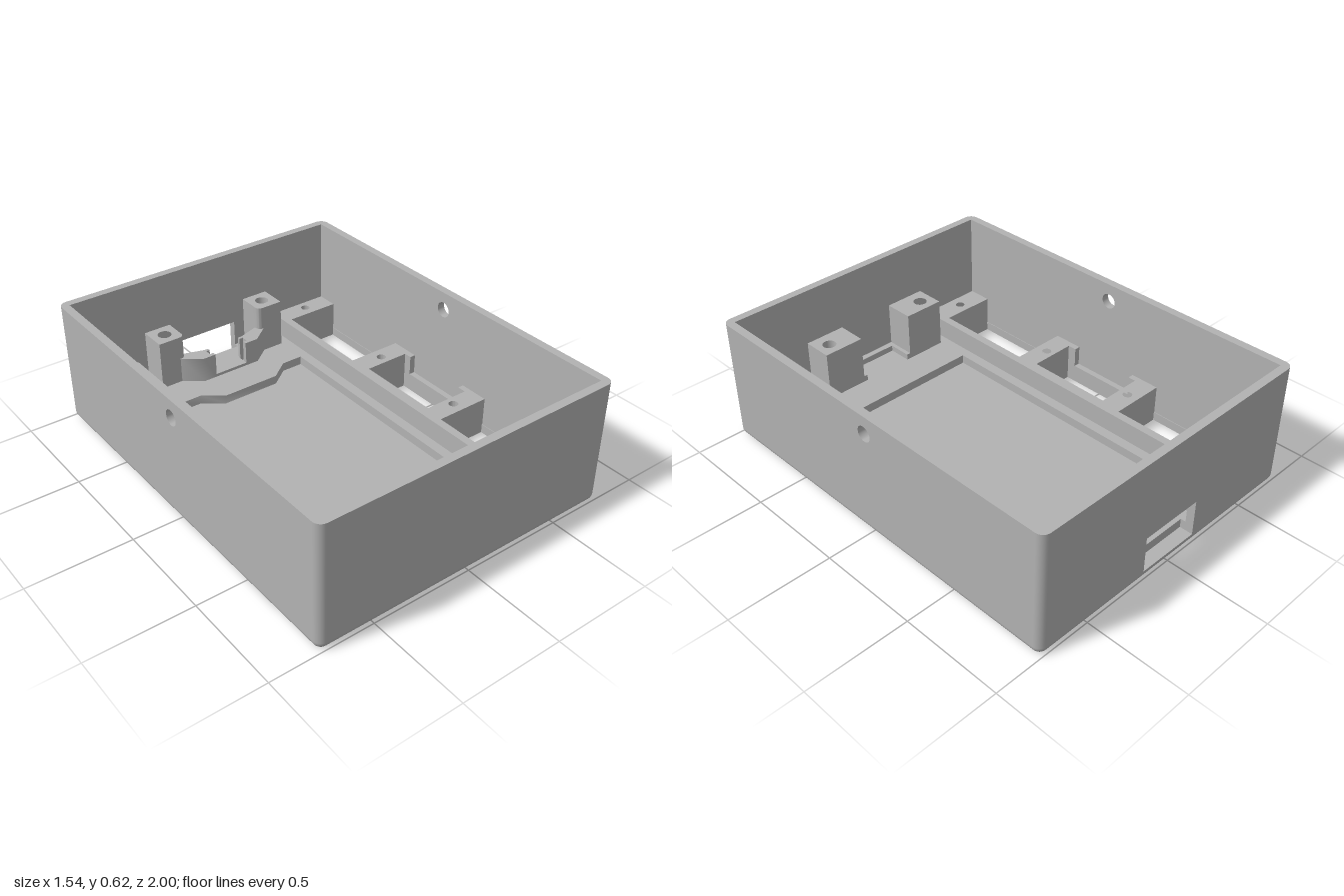
import * as THREE from 'three';
import { toCreasedNormals } from 'three/addons/utils/BufferGeometryUtils.js';

const X = 0.73, Z = 0.96, R = 0.04, TOP = 0.62; // inner half sizes, wall thickness, height
const PLATE = 0.045, FLOOR = 0.09, LEDGE = 0.19, POST = 0.34;
const Q = Math.PI / 2;

const grey = new THREE.MeshStandardMaterial({ color: 0xb2b2b2 });
grey.name = 'grey plastic';

const poly = (pts) => new THREE.Shape(pts.map(([a, b]) => new THREE.Vector2(a, b)));
const rect = (a0, a1, b0, b1) => poly([[a0, b0], [a1, b0], [a1, b1], [a0, b1]]);
const circle = (a, b, r) => new THREE.Path().absarc(a, b, r, 0, Math.PI * 2, true);

export function createModel() {
  const model = new THREE.Group();
  model.name = 'enclosure';

  const add = (name, geo, x = 0, y = 0, z = 0) => {
    const mesh = new THREE.Mesh(geo, grey);
    mesh.name = name;
    mesh.position.set(x, y, z);
    model.add(mesh);
  };
  const extrude = (shape, depth) => toCreasedNormals(
    new THREE.ExtrudeGeometry(shape, { depth, bevelEnabled: false, curveSegments: 12 }), 0.7);
  // Horizontal slab from a plan drawn in x and z
  const slab = (name, shape, y0, y1) => add(name, extrude(shape, y1 - y0).rotateX(Q), 0, y1, 0);
  const block = (name, x0, x1, z0, z1, y0, y1) => add(name,
    new THREE.BoxGeometry(Math.abs(x1 - x0), y1 - y0, z1 - z0),
    (x0 + x1) / 2, (y0 + y1) / 2, (z0 + z1) / 2);

  // Side walls with a round hole each
  for (const x of [-X - R, X]) {
    const side = rect(-Z, Z, R, TOP);
    side.holes.push(circle(0, 0.53, 0.038));
    add('sideWall', extrude(side, R).rotateY(Q), x);
  }

  // Front wall, and back wall with the connector opening
  add('frontWall', extrude(rect(-X, X, R, TOP), R), 0, 0, Z);
  const back = rect(-X, X, R, TOP);
  back.holes.push(rect(-0.16, 0.16, PLATE, 0.225));
  add('backWall', extrude(back, R), 0, 0, -Z - R);

  // Rounded upright corners and lower corners
  for (let k = 0; k < 4; k++) {
    const x = k === 1 || k === 2 ? X : -X, z = k < 2 ? Z : -Z;
    add('wallCorner', new THREE.CylinderGeometry(R, R, TOP - R, 8, 1, false, (k - 1) * Q, Q), x, (TOP + R) / 2, z);
    add('bottomCorner', new THREE.SphereGeometry(R, 8, 8, k * Q, Q, Q, Q), x, R, z);
  }

  // Rounded bottom edges
  const edge = (length, start) => new THREE.CylinderGeometry(R, R, length, 8, 1, true, start, Q);
  add('bottomEdge', edge(2 * Z, 0).rotateX(Q), X, R, 0);
  add('bottomEdge', edge(2 * Z, -Q).rotateX(Q), -X, R, 0);
  add('bottomEdge', edge(2 * X, -Q).rotateZ(Q), 0, R, Z);
  add('bottomEdge', edge(2 * X, 2 * Q).rotateZ(Q), 0, R, -Z);

  // Base plate with windows and screw holes down both sides
  const plate = rect(-X, X, -Z, Z);
  const screwZ = [-0.91, -0.27, 0.26, 0.9];
  for (const s of [-1, 1]) {
    for (const [a, b, z0, z1] of [[0.45, 0.727, -0.85, -0.33], [0.465, 0.7, -0.22, 0.215], [0.45, 0.727, 0.32, 0.84]])
      plate.holes.push(rect(s * a, s * b, z0, z1));
    for (const z of screwZ) plate.holes.push(circle(s * 0.585, z, 0.023));
  }
  slab('basePlate', plate, 0, PLATE);

  // Raised middle floor with a shallow tray and a notch at the opening
  const floor = poly([[-0.41, Z], [-0.41, -Z], [-0.16, -Z], [-0.16, -0.935],
    [0.16, -0.935], [0.16, -Z], [0.41, -Z], [0.41, Z]]);
  floor.holes.push(poly([[-0.36, 0.64], [0.36, 0.64], [0.36, -0.65], [0.25, -0.65],
    [0.15, -0.575], [-0.15, -0.575], [-0.25, -0.65], [-0.36, -0.65]]));
  slab('middleFloor', floor, PLATE, FLOOR);

  for (const s of [-1, 1]) {
    // Long rails and screw pads
    block('rail', s * 0.41, s * 0.45, -Z, Z, PLATE, LEDGE);
    [[-Z, -0.85], [-0.33, -0.22], [0.215, 0.32], [0.84, Z]].forEach(([z0, z1], i) => {
      const pad = rect(s * 0.45, s * X, z0, z1);
      pad.holes.push(circle(s * 0.585, screwZ[i], 0.023));
      slab('screwPad', pad, PLATE, LEDGE);
    });

    // Rim of the middle window, lower along its outer side
    block('windowRim', s * 0.45, s * 0.465, -0.22, 0.215, PLATE, LEDGE);
    block('windowRim', s * 0.7, s * X, -0.22, -0.18, PLATE, LEDGE);
    block('windowRim', s * 0.7, s * X, 0.17, 0.215, PLATE, LEDGE);
    block('windowLip', s * 0.7, s * X, -0.18, 0.17, PLATE, 0.09);

    // Mounting posts with blind holes
    const rear = new THREE.Shape();
    rear.moveTo(s * 0.36, -Z);
    rear.lineTo(s * 0.36, -0.82);
    rear.lineTo(s * 0.25, -0.82);
    rear.quadraticCurveTo(s * 0.22, -0.82, s * 0.22, -0.85);
    rear.lineTo(s * 0.22, -Z);
    rear.holes.push(circle(s * 0.29, -0.89, 0.034));
    slab('rearPost', rear, FLOOR, POST);
    const front = rect(s * 0.15, s * 0.36, 0.81, Z);
    front.holes.push(circle(s * 0.29, 0.88, 0.034));
    slab('frontPost', front, FLOOR, POST);
    block('frontRib', s * 0.13, s * 0.15, 0.81, Z, FLOOR, 0.12);

    // Angled holder with an upright slot beside its gap
    slab('connectorHolder', poly([[0.25, -0.82], [0.16, -0.75], [0.09, -0.75], [0.09, -0.77], [0.11, -0.77],
      [0.11, -0.805], [0.09, -0.805], [0.09, -0.82], [0.11, -0.82], [0.22, -0.855]]
      .map(([x, z]) => [s * x, z])), FLOOR, 0.22);
  }

  // Low stops at both ends
  block('frontStop', -0.13, 0.13, 0.93, Z, FLOOR, 0.12);
  block('holderSill', -0.09, 0.09, -0.82, -0.75, FLOOR, 0.105);
  return model;
}
